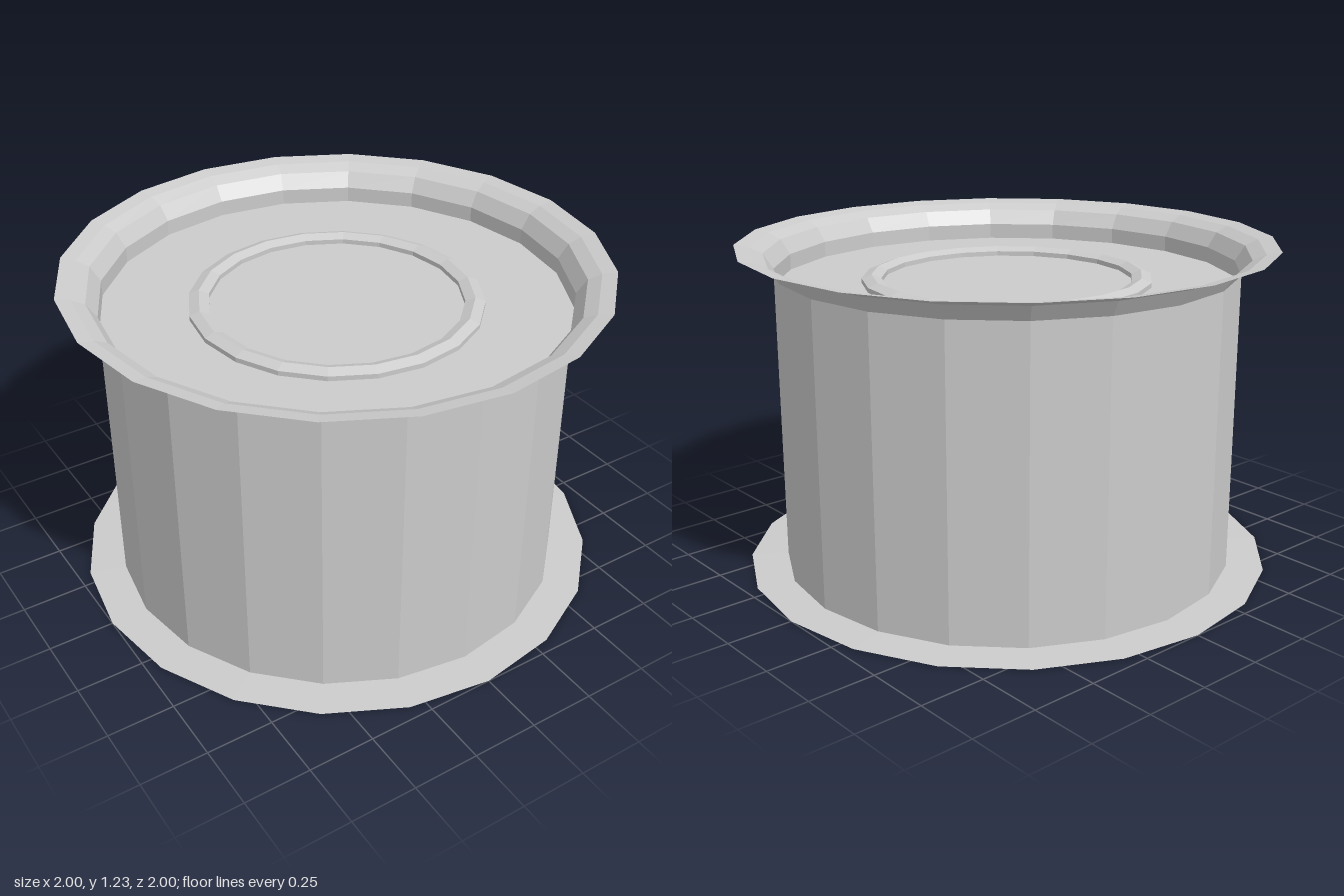
import * as THREE from 'three';

const SIDES = 20;

// Faceted surface of revolution from [radius, height] pairs
function turned(name, profile, material) {
  const points = profile.map(([r, y]) => new THREE.Vector2(r, y));
  const mesh = new THREE.Mesh(new THREE.LatheGeometry(points, SIDES), material);
  mesh.name = name;
  return mesh;
}

export function createModel() {
  const group = new THREE.Group();
  group.name = 'flangedDrum';
  const material = new THREE.MeshStandardMaterial({
    color: 0xcccccc, flatShading: true, side: THREE.DoubleSide,
  });

  // Thin flat flange around the open bottom
  group.add(turned('bottomFlange', [[1, 0], [0.86, 0.004]], material));

  // Straight thin wall
  group.add(turned('wall', [[0.86, 0.004], [0.86, 1.135]], material));

  // Lip curling outwards above the wall
  group.add(turned('flaredRim',
    [[0.86, 1.135], [0.897, 1.192], [0.945, 1.215], [1, 1.225]], material));

  // Recessed lid
  group.add(turned('lid', [[0.86, 1.075], [0, 1.075]], material));

  // Raised ring with a ridged top
  group.add(turned('lidRing',
    [[0.54, 1.075], [0.54, 1.093], [0.503, 1.107], [0.467, 1.093], [0.467, 1.075]], material));

  return group;
}
